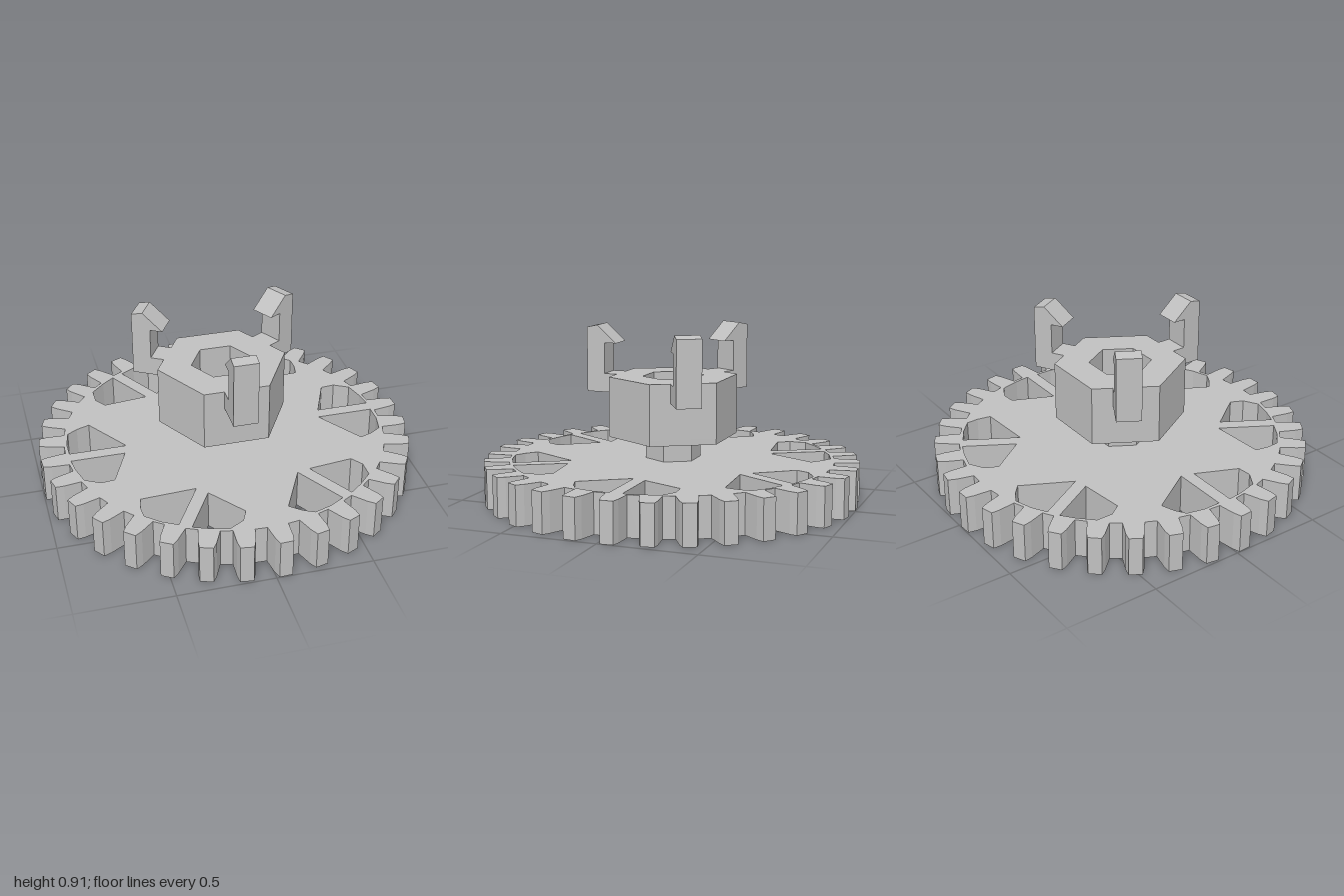
import * as THREE from 'three';

const grey = new THREE.MeshStandardMaterial({ color: 0xc0c0c0 });
grey.name = 'plain grey';

const rotate = ([x, y], a) =>
  new THREE.Vector2(x * Math.cos(a) - y * Math.sin(a), x * Math.sin(a) + y * Math.cos(a));

const hexagon = (r) => Array.from({ length: 6 }, (_, i) => rotate([r, 0], (i * Math.PI) / 3));

// Upright prism from a plan outline (plan y points to the back)
function prism(name, outline, holes, y0, y1) {
  const shape = new THREE.Shape(outline);
  shape.holes = holes.map((h) => new THREE.Path(h));
  const geometry = new THREE.ExtrudeGeometry(shape, { depth: y1 - y0, bevelEnabled: false });
  geometry.rotateX(-Math.PI / 2).translate(0, y0, 0);
  const mesh = new THREE.Mesh(geometry, grey);
  mesh.name = name;
  return mesh;
}

export function createModel() {
  const model = new THREE.Group();
  model.name = 'gearWheel';

  // Toothed wheel outline: 32 tapered teeth with chamfered tips
  const teeth = 32;
  const tooth = [[0.863, -0.054], [0.955, -0.045], [0.997, -0.034],
    [0.997, 0.034], [0.955, 0.045], [0.863, 0.054]];
  const outline = [];
  for (let i = 0; i < teeth; i++) {
    const a = ((i + 0.25) / teeth) * Math.PI * 2;
    tooth.forEach((p) => outline.push(rotate(p, a)));
  }

  // Six pairs of windows, each pair split by a thin offset spoke
  const upper = [[0.56, 0.068], [0.655, 0.288], [0.73, 0.295], [0.808, 0.25], [0.835, 0.15], [0.847, 0.068]];
  const lower = [[0.54, 0], [0.845, 0], [0.845, -0.09], [0.825, -0.185], [0.77, -0.22], [0.7, -0.245]];
  const windows = [];
  for (let i = 0; i < 6; i++) {
    for (const w of [upper, lower]) windows.push(w.map((p) => rotate(p, (i * Math.PI) / 3)));
  }
  model.add(prism('toothedWheel', outline, windows, 0, 0.21));

  // Hub stands slightly off the wheel's centre
  const hub = new THREE.Group();
  hub.name = 'hub';
  hub.position.set(-0.01, 0, -0.005);
  model.add(hub);
  hub.add(prism('neck', hexagon(0.148), [], 0.21, 0.33));
  hub.add(prism('hubFloor', hexagon(0.345), [], 0.33, 0.36));
  hub.add(prism('hubSocket', hexagon(0.345), [hexagon(0.165)], 0.36, 0.65));

  // Three hooked clips around the hub, profile as (outward, up)
  const profile = [[0.285, 0.55], [0.47, 0.55], [0.47, 0.897], [0.41, 0.91], [0.303, 0.815],
    [0.37, 0.815], [0.37, 0.65], [0.285, 0.65]];
  const clipGeometry = new THREE.ExtrudeGeometry(
    new THREE.Shape(profile.map(([x, y]) => new THREE.Vector2(x, y))),
    { depth: 0.13, bevelEnabled: false });
  clipGeometry.translate(0, 0, -0.065).rotateY(-Math.PI / 2);
  for (let i = 0; i < 3; i++) {
    const clip = new THREE.Mesh(clipGeometry, grey);
    clip.name = 'clip';
    clip.rotation.y = (i * Math.PI * 2) / 3;
    hub.add(clip);
  }
  return model;
}
